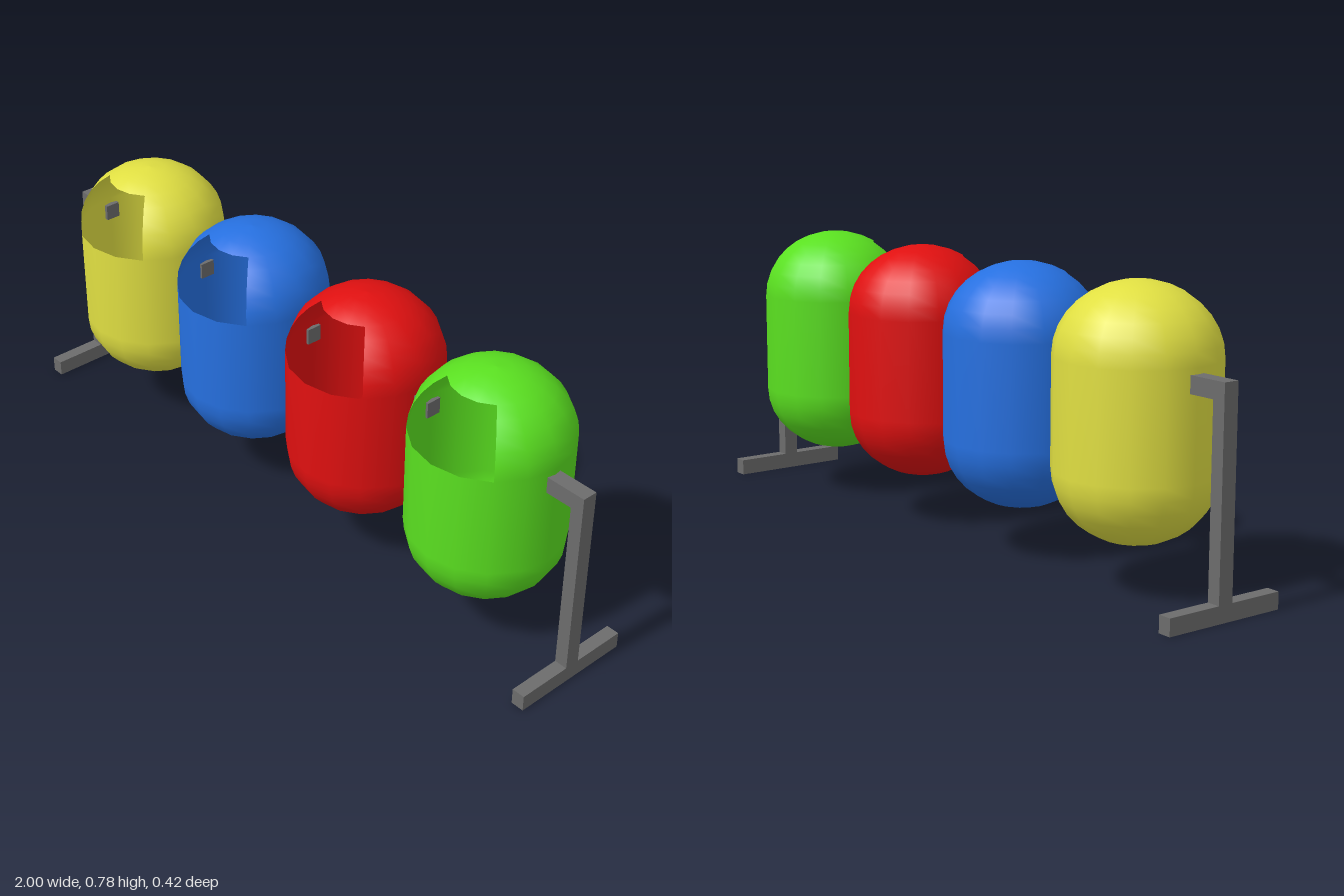
import * as THREE from 'three';

const SIDES = 16, RINGS = 8;
const RADIUS = 0.21, DOME = 0.187, LOW = 0.31, HIGH = 0.59;
const MID_Z = 0.0025;

// Hollow capsule shell with a front opening spanning 90 degrees of the upper dome
function binGeometry() {
  const profile = [];
  for (let i = 0; i <= RINGS; i++) {
    const a = (i / RINGS) * Math.PI / 2;
    profile.push(new THREE.Vector2(RADIUS * Math.sin(a), LOW - DOME * Math.cos(a)));
  }
  for (let i = 0; i <= RINGS; i++) {
    const a = (i / RINGS) * Math.PI / 2;
    profile.push(new THREE.Vector2(RADIUS * Math.cos(a), HIGH + DOME * Math.sin(a)));
  }
  const geometry = new THREE.LatheGeometry(profile, SIDES);

  // Leave out the faces inside the opening
  const bands = profile.length - 1;
  const firstBand = RINGS + 1, lastBand = firstBand + 4;
  const source = geometry.index.array;
  const kept = [];
  for (let s = 0; s < SIDES; s++) {
    const atFront = s < SIDES / 8 || s >= SIDES - SIDES / 8;
    for (let b = 0; b < bands; b++) {
      if (atFront && b >= firstBand && b <= lastBand) continue;
      const k = (s * bands + b) * 6;
      for (let n = 0; n < 6; n++) kept.push(source[k + n]);
    }
  }
  geometry.setIndex(kept);
  return geometry;
}

export function createModel() {
  const model = new THREE.Group();
  model.name = 'binRow';
  const steel = new THREE.MeshStandardMaterial({ color: 0x6c6c6c });

  // Box given by its extents
  const bar = (name, x0, x1, y0, y1, depth) => {
    const mesh = new THREE.Mesh(new THREE.BoxGeometry(x1 - x0, y1 - y0, depth), steel);
    mesh.position.set((x0 + x1) / 2, (y0 + y1) / 2, MID_Z);
    mesh.name = name;
    model.add(mesh);
  };

  // Four coloured bins
  const shell = binGeometry();
  const centres = [-0.68, -0.227, 0.227, 0.68];
  const names = ['yellowBin', 'blueBin', 'redBin', 'greenBin'];
  [0xe0df42, 0x2670e0, 0xe01010, 0x5ae020].forEach((color, i) => {
    const material = new THREE.MeshStandardMaterial({ color, side: THREE.DoubleSide });
    const bin = new THREE.Mesh(shell, material);
    bin.position.x = centres[i];
    bin.name = names[i];
    model.add(bin);
  });

  // Short connecting bars between neighbouring bins
  for (let i = 0; i < 3; i++) {
    bar('connector', centres[i] + RADIUS - 0.012, centres[i + 1] - RADIUS + 0.012, 0.53, 0.575, 0.043);
  }

  // End stands: post, foot and stub bar into the outer bin
  bar('leftPost', 0.963, 1, 0.045, 0.575, 0.043);
  bar('leftFoot', 0.963, 1, 0, 0.045, 0.35);
  bar('leftStub', 0.875, 0.963, 0.53, 0.575, 0.043);
  bar('rightPost', -1, -0.963, 0.045, 0.575, 0.043);
  bar('rightFoot', -1, -0.963, 0, 0.045, 0.35);
  bar('rightStub', -0.963, -0.875, 0.53, 0.575, 0.043);

  return model;
}
